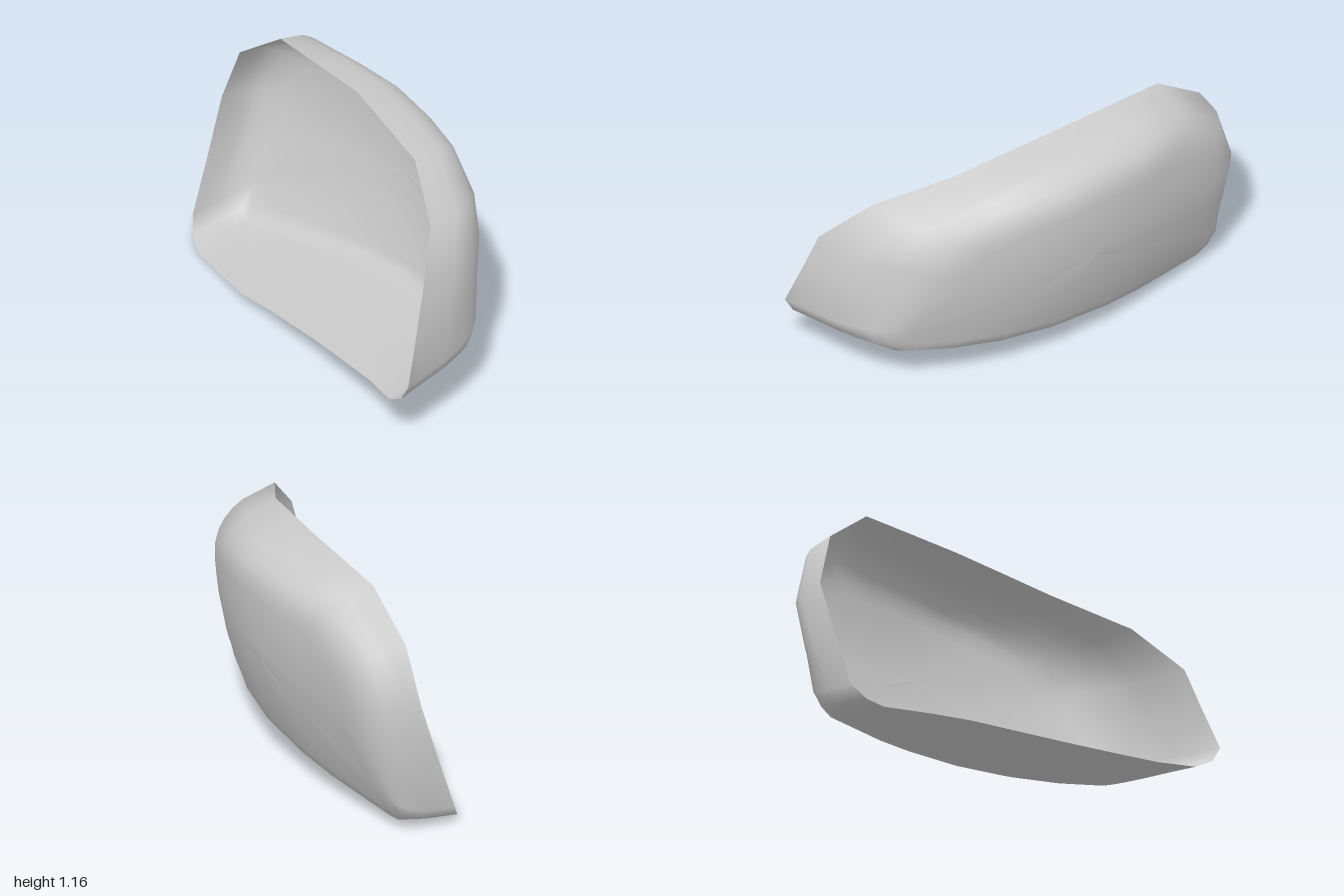
import * as THREE from 'three';

// Open rim, counter-clockwise from the front: [x, y, z]
const rim = [
  [-0.88, 0, 0], [-0.63, 0.03, 0.1], [-0.43, 0.05, 0.175], [-0.2, 0.08, 0.22], [0.15, 0.12, 0.3],
  [0.43, 0.15, 0.375], [0.66, 0.175, 0.44], [0.85, 0.2, 0.52],
  [0.95, 0.26, 0.545], [1, 0.345, 0.55], [0.97, 0.55, 0.47], [0.94, 0.765, 0.39], [0.8, 0.975, 0.19],
  [0.48, 1.09, -0.04], [0.22, 1.124, -0.12], [-0.04, 1.157, -0.2], [-0.33, 1.154, -0.245], [-0.62, 1.15, -0.29],
  [-0.89, 0.95, -0.3], [-0.99, 0.67, -0.285], [-0.995, 0.4, -0.2], [-1, 0.1, -0.1], [-0.95, 0.03, -0.05],
];

// Rings from the rim to the middle of the back:
// [inset along the crisp bottom edge, inset along the rounder top and sides, depth fraction]
const rings = [
  [0, 0, 0], [0.008, 0.012, 0.25], [0.016, 0.027, 0.55], [0.022, 0.05, 0.72], [0.028, 0.08, 0.85],
  [0.035, 0.115, 0.94], [0.055, 0.16, 1], [0.1, 0.22, 1], [0.17, 0.28, 1], [0.25, 0.34, 1],
  [0.34, 0.4, 1], [0.42, 0.45, 1], [0.5, 0.5, 1],
];

// Curved back panel, sweeping forward to the left and towards the bottom
function backZ(x, y) {
  const sweep = -0.512 + 0.17 * x + 0.25 * x * x + 0.11 * x ** 3;
  return sweep + 0.23 * ((0.88 - y) / 0.88) ** 2;
}

function shellGeometry() {
  const pos = [], index = [], n = rim.length;
  for (const [crisp, round, depth] of rings) {
    for (const [rx, ry, rz] of rim) {
      // Height above the sloping bottom edge decides how round the corner is
      const roundness = THREE.MathUtils.clamp((ry - 0.1 - 0.115 * rx) / 0.3, 0, 1);
      const inset = THREE.MathUtils.lerp(crisp, round, roundness);
      const x = rx * (1 - inset - 2 * inset * inset);
      const middle = 0.6 + 0.05 * x;
      const y = middle + (ry - middle) * (1 - 2 * inset);
      pos.push(x, y, THREE.MathUtils.lerp(rz, backZ(x, y), depth));
    }
  }
  for (let r = 0; r < rings.length - 1; r++) {
    for (let i = 0; i < n; i++) {
      const a = r * n + i, b = r * n + (i + 1) % n;
      index.push(a, a + n, b);
      // The last ring closes to a point
      if (r < rings.length - 2) index.push(b, a + n, b + n);
    }
  }
  const geometry = new THREE.BufferGeometry();
  geometry.setAttribute('position', new THREE.Float32BufferAttribute(pos, 3));
  geometry.setIndex(index);
  geometry.computeVertexNormals();
  return geometry;
}

export function createModel() {
  const group = new THREE.Group();
  group.name = 'mirrorHousing';
  const material = new THREE.MeshStandardMaterial({ color: 0xcccccc, side: THREE.DoubleSide });
  const shell = new THREE.Mesh(shellGeometry(), material);
  shell.name = 'housingShell';
  group.add(shell);
  return group;
}
